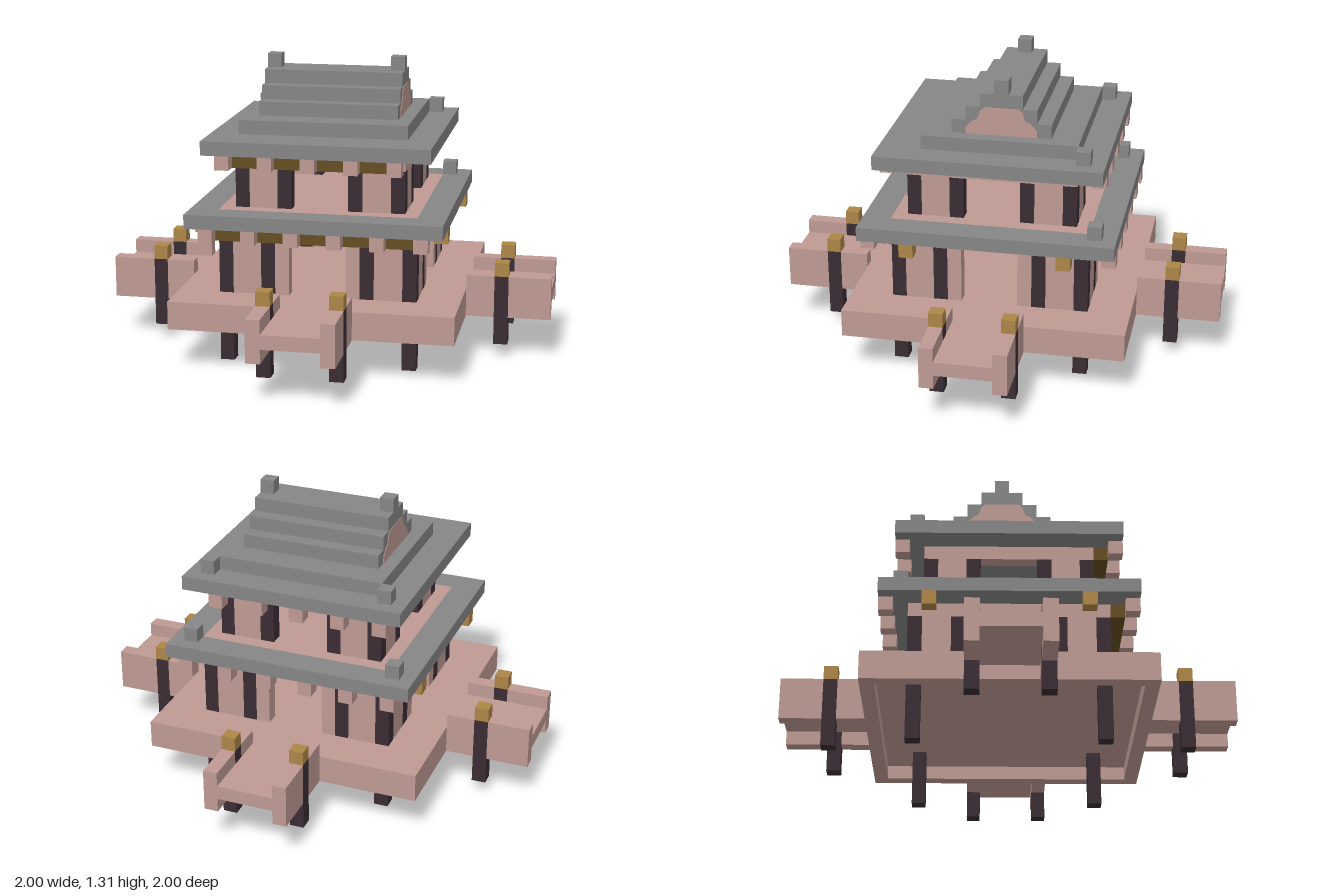
import * as THREE from 'three';

const mat = (name, color, extra = {}) => {
  const m = new THREE.MeshStandardMaterial({ color, ...extra });
  m.name = name;
  return m;
};

export function createModel() {
  const pink = mat('pink plaster', 0xbe9a93);
  const grey = mat('grey tile', 0x868686);
  const dark = mat('dark timber', 0x3a2d33);
  const gold = mat('gold', 0xad8647);
  const bronze = mat('dark gold', 0x654d22);

  const model = new THREE.Group();
  model.name = 'pavilion';
  model.scale.setScalar(1 / 16); // everything below is in whole blocks

  const group = (name, parent = model) => {
    const g = new THREE.Group();
    g.name = name;
    parent.add(g);
    return g;
  };
  const box = (parent, name, m, x0, x1, y0, y1, z0, z1) => {
    const mesh = new THREE.Mesh(new THREE.BoxGeometry(x1 - x0, y1 - y0, z1 - z0), m);
    mesh.position.set((x0 + x1) / 2, (y0 + y1) / 2, (z0 + z1) / 2);
    mesh.name = name;
    parent.add(mesh);
  };
  // Four copies of a side, turned about the vertical axis
  const fourSides = (name, build) => {
    for (let i = 0; i < 4; i++) {
      const side = group(name);
      side.rotation.y = (i * Math.PI) / 2;
      build(side);
    }
  };
  // Square frame with outer half width a and inner half width b
  const frame = (name, m, a, b, y0, y1) => {
    const shape = new THREE.Shape([[-a, -a], [a, -a], [a, a], [-a, a]].map(p => new THREE.Vector2(...p)));
    shape.holes.push(new THREE.Path([[-b, -b], [-b, b], [b, b], [b, -b]].map(p => new THREE.Vector2(...p))));
    const geo = new THREE.ExtrudeGeometry(shape, { depth: y1 - y0, bevelEnabled: false });
    geo.rotateX(-Math.PI / 2);
    const mesh = new THREE.Mesh(geo, m);
    mesh.position.y = y0;
    mesh.name = name;
    model.add(mesh);
  };

  // Platform with a rim hanging below its floor
  box(model, 'platformFloor', pink, -9, 9, 4, 5, -9, 9);
  frame('platformRim', pink, 10, 9, 3, 5);

  // Walkways with railings and capped posts, plus the platform corner posts
  fourSides('walkway', g => {
    box(g, 'walkwayFloor', pink, -2, 2, 4, 5, 10, 16);
    for (const x of [-3, 2]) {
      box(g, 'railing', pink, x, x + 1, 3, 6, 10, 12);
      box(g, 'railing', pink, x, x + 1, 3, 6, 13, 16);
      box(g, 'railingPost', dark, x, x + 1, 1, 6, 12, 13);
      box(g, 'postCap', gold, x, x + 1, 6, 7, 12, 13);
    }
    box(g, 'platformPost', dark, 6, 7, 0, 4, 6, 7);
  });

  // Storeys: flush columns and wall panels around a central doorway
  const storey = (name, h, mid, y0, y1) => {
    fourSides(name, g => {
      box(g, 'cornerColumn', dark, h - 1, h, y0, y1, h - 1, h);
      for (const s of [-1, 1]) {
        const part = (n, m, a, b) =>
          box(g, n, m, Math.min(s * a, s * b), Math.max(s * a, s * b), y0, y1, h - 1, h);
        part('doorColumn', dark, mid, mid + 1);
        part('wall', pink, mid + 1, h - 1);
        if (mid > 2) part('doorWall', pink, 2, mid);
      }
    });
    frame(name + 'Beam', pink, h, h - 1, y1, y1 + 1);
  };
  storey('lowerStorey', 7, 3, 5, 9);
  storey('upperStorey', 6, 2, 11, 14);

  // Eave brackets at front and back, with a dark gold beam behind the front row
  const brackets = (xs, y, z) => {
    const g = group('eaveBrackets');
    for (const x of xs) {
      box(g, 'frontBracket', pink, x, x + 1, y, y + 1, z, z + 1);
      box(g, 'backBracket', pink, x, x + 1, y, y + 1, -z - 1, -z);
    }
    box(g, 'frontEaveBeam', bronze, xs[0] + 1, xs[xs.length - 1], y, y + 1, z - 1, z);
  };
  brackets([-8, -5, -2, 1, 4, 7], 9, 8);
  brackets([-7, -4, -1, 2, 5], 14, 7);
  for (const x of [-9, 8]) {
    for (const z of [-6, 5]) box(model, 'sideBracket', gold, x, x + 1, 9, 10, z, z + 1);
  }

  // Lower roof around the upper floor
  frame('lowerRoof', grey, 9, 7, 10, 11);
  box(model, 'upperFloor', pink, -7, 7, 10, 11, -7, 7);

  // Upper roof and its stepped ridge
  box(model, 'upperRoof', grey, -8, 8, 15, 16, -8, 8);
  box(model, 'roofTier', grey, -6, 6, 16, 17, -6, 5);
  for (let i = 0; i < 3; i++) {
    box(model, 'ridgeStep', grey, -5, 5, 17 + i, 18 + i, -4 + i, 3 - i);
  }

  // Roof ornaments on the back corners and ridge ends
  for (const s of [-1, 1]) {
    const ornament = (x, y, z) =>
      box(model, 'roofOrnament', grey, s * x - 0.5, s * x + 0.5, y, y + 1, z - 0.5, z + 0.5);
    ornament(7.5, 11, -7.5);
    ornament(6.5, 16, -6.5);
    ornament(4.5, 20, -0.5);
  }

  // Gable panels at both ends of the ridge
  const gable = new THREE.Shape([[-2.5, 17], [2.5, 17], [2.5, 17.5], [2, 18], [1.7, 18.1], [1.5, 18.7],
    [1.2, 19], [-1.2, 19], [-1.5, 18.7], [-1.7, 18.1], [-2, 18], [-2.5, 17.5]].map(p => new THREE.Vector2(...p)));
  for (const s of [-1, 1]) {
    const panel = new THREE.Mesh(new THREE.ExtrudeGeometry(gable, { depth: 0.06, bevelEnabled: false }), pink);
    panel.rotation.y = (s * Math.PI) / 2;
    panel.position.set(s * 4.98, 0, -0.5);
    panel.name = 'gablePanel';
    model.add(panel);
  }

  const root = new THREE.Group();
  root.name = 'model';
  root.add(model);
  return root;
}
